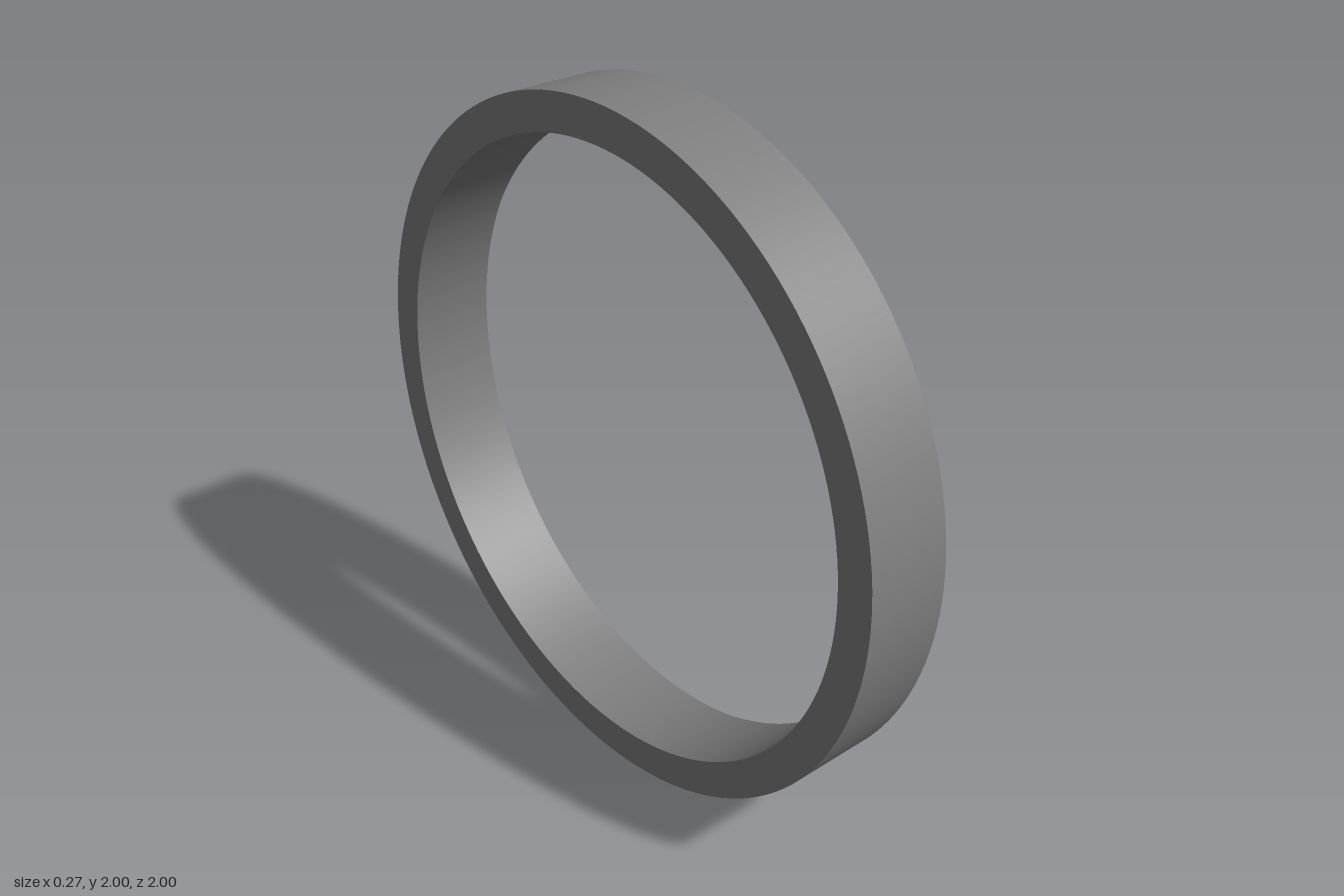
import * as THREE from 'three';
import { toCreasedNormals } from 'three/addons/utils/BufferGeometryUtils.js';

export function createModel() {
  const group = new THREE.Group();
  const material = new THREE.MeshStandardMaterial({ color: 0x7e7e7e });

  const half = 0.135, outer = 1, inner = 0.892, lip = 0.91;
  const shoulder = 0.118, ridges = 6, groove = 0.006, depth = 0.008;
  const pitch = (outer - lip + groove) / ridges;

  // Cross-section (radius, position along the axis), from the plain face outwards
  const profile = [[inner, -half], [outer, -half]];

  // Fine concentric ridges with grooves between, rising towards the bore
  for (let i = 0; i < ridges; i++) {
    const r = outer - i * pitch;
    const x = shoulder + (half - shoulder) * i / (ridges - 1);
    const end = r - pitch + groove;
    profile.push([r, x], [end, x]);
    if (i < ridges - 1) profile.push([end, x - depth], [r - pitch, x - depth]);
  }

  // Small recessed ledge at the bore, then the bore itself
  profile.push([lip, 0.115], [inner, 0.115], [inner, -half]);

  const lathe = new THREE.LatheGeometry(profile.map(([r, x]) => new THREE.Vector2(r, x)), 160);
  lathe.rotateZ(-Math.PI / 2);
  lathe.translate(0, 1, 0);

  const ring = new THREE.Mesh(toCreasedNormals(lathe, Math.PI / 6), material);
  ring.name = 'ridgedRing';
  group.add(ring);
  return group;
}
